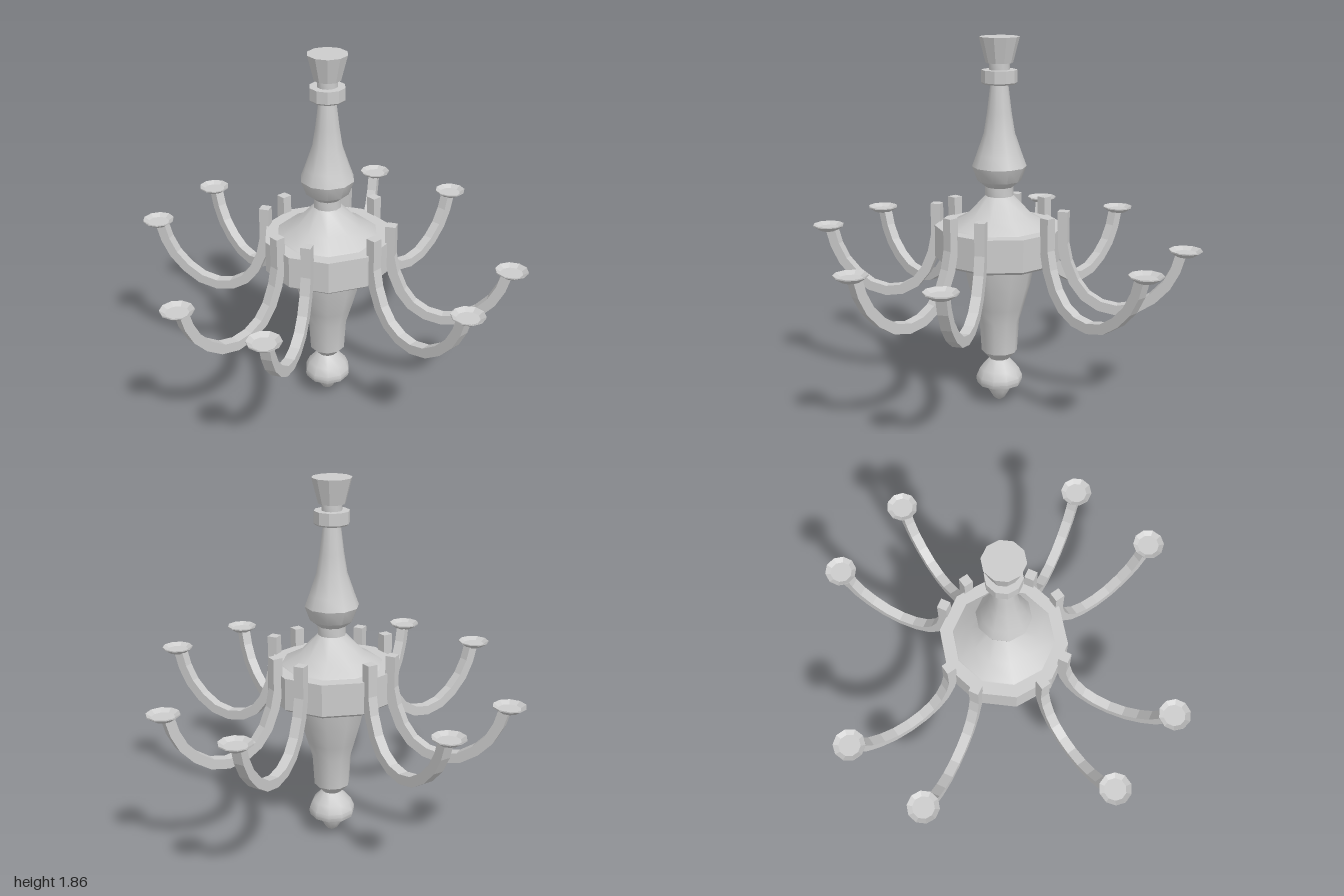
import * as THREE from 'three';
import { toCreasedNormals } from 'three/addons/utils/BufferGeometryUtils.js';

const SIDES = 10;
const smooth = new THREE.MeshStandardMaterial({ color: 0xcccccc });
const flat = new THREE.MeshStandardMaterial({ color: 0xcccccc, flatShading: true });

// Ten-sided turned part with a corner on +x; profile runs bottom to top as [radius, height]
function turned(name, profile, faceted = false) {
  const points = profile.map(([r, y]) => new THREE.Vector2(r, y));
  const geometry = new THREE.LatheGeometry(points, SIDES, Math.PI / 2);
  const mesh = new THREE.Mesh(
    faceted ? geometry : toCreasedNormals(geometry, 0.66),
    faceted ? flat : smooth
  );
  mesh.name = name;
  return mesh;
}

// Square-section hook: a centre line thickened in its plane, then extruded
function armGeometry() {
  const width = 0.05;
  const line = [
    [0.325, 1.03], [0.325, 0.87], [0.345, 0.775], [0.385, 0.68], [0.44, 0.61],
    [0.515, 0.566], [0.60, 0.552], [0.69, 0.572], [0.77, 0.625], [0.835, 0.695],
    [0.877, 0.775], [0.9, 0.855],
  ].map(([x, y]) => new THREE.Vector2(x, y));
  const inner = [], outer = [];
  line.forEach((p, i) => {
    const a = line[Math.max(i - 1, 0)], b = line[Math.min(i + 1, line.length - 1)];
    const t = b.clone().sub(a).normalize();
    const n = new THREE.Vector2(-t.y, t.x).multiplyScalar(width / 2);
    inner.push(p.clone().add(n));
    outer.unshift(p.clone().sub(n));
  });
  const shape = new THREE.Shape([...inner, ...outer]);
  const geometry = new THREE.ExtrudeGeometry(shape, { depth: width, bevelEnabled: false });
  return geometry.translate(0, 0, -width / 2);
}

export function createModel() {
  const model = new THREE.Group();
  model.name = 'chandelier';

  // Central column, from the bottom tip to the ceiling cup
  model.add(
    turned('bottomTip', [[0, 0.005], [0.03, 0.025], [0.055, 0.065], [0.068, 0.105], [0, 0.105]]),
    turned('bottomKnob', [
      [0, 0.105], [0.112, 0.105], [0.118, 0.125], [0.116, 0.145], [0.098, 0.185], [0.05, 0.238], [0, 0.238],
    ]),
    turned('lowerVase', [
      [0, 0.238], [0.05, 0.238], [0.09, 0.28], [0.1, 0.44], [0.124, 0.52], [0.155, 0.63], [0.182, 0.765],
    ]),
    turned('hub', [[0, 0.765], [0.3, 0.765], [0.32, 0.78], [0.32, 0.94], [0, 0.94]], true),
    turned('hubDome', [[0.26, 0.935], [0.25, 0.945], [0.165, 0.99], [0.07, 1.09]]),
    turned('neck', [[0.07, 1.085], [0.07, 1.14]]),
    turned('upperVase', [
      [0, 1.135], [0.07, 1.135], [0.108, 1.165], [0.134, 1.235], [0.112, 1.295],
      [0.076, 1.4], [0.06, 1.5], [0.043, 1.64],
    ]),
    turned('collar', [[0, 1.637], [0.08, 1.637], [0.087, 1.645], [0.087, 1.705], [0, 1.705]], true),
    turned('collarNeck', [[0.05, 1.7], [0.05, 1.74]]),
    turned('ceilingCup', [[0, 1.738], [0.066, 1.738], [0.098, 1.862], [0, 1.862]], true)
  );

  // Eight arms: four on the axes and four turned 30 degrees further
  const hook = armGeometry();
  for (let i = 0; i < 8; i++) {
    const arm = new THREE.Group();
    arm.name = 'arm' + (i + 1);
    const hookMesh = new THREE.Mesh(hook, flat);
    hookMesh.name = 'hook';
    const cup = turned('candleCup', [
      [0, 0.848], [0.045, 0.848], [0.08, 0.872], [0.08, 0.878], [0.055, 0.862], [0, 0.862],
    ], true);
    cup.position.x = 0.92;
    arm.add(hookMesh, cup);
    arm.rotation.y = -(Math.floor(i / 2) * Math.PI / 2 + (i % 2) * Math.PI / 6);
    model.add(arm);
  }
  return model;
}
